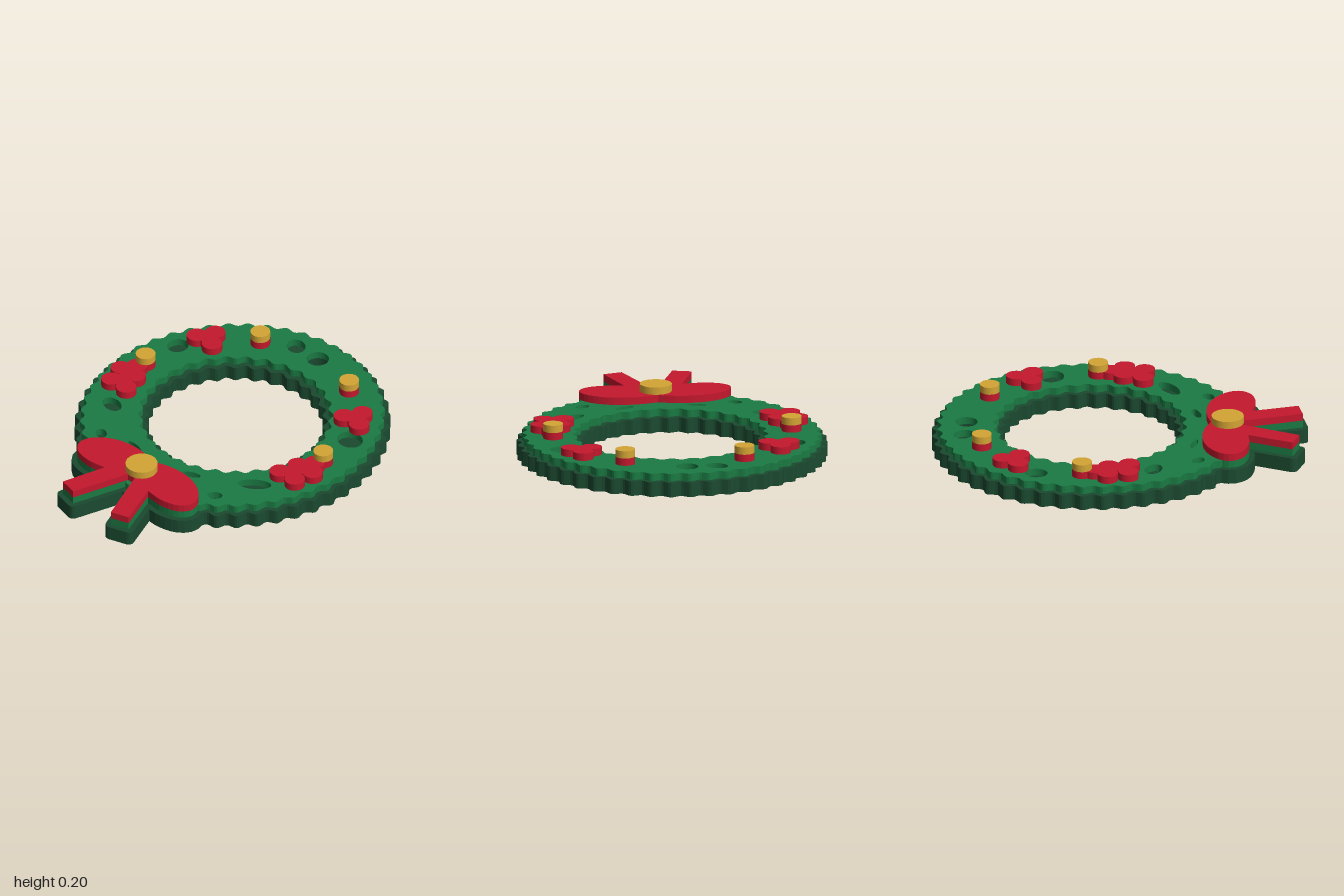
import * as THREE from 'three';

const V = (x, z) => new THREE.Vector2(x, -z); // plan coordinates, z towards the front

// Closed scalloped oval
function scallop(x, z, rx, rz, depth, bumps) {
  const pts = [], n = bumps * 8;
  for (let i = 0; i < n; i++) {
    const a = (i / n) * Math.PI * 2, d = depth * Math.cos(bumps * a);
    pts.push(V(x + (rx + d) * Math.sin(a), z + (rz + d) * Math.cos(a)));
  }
  return pts;
}

function ellipse(x, z, rx, rz, turn = 0) {
  const pts = [];
  for (let i = 0; i < 28; i++) {
    const a = (i / 28) * Math.PI * 2, u = rx * Math.cos(a), v = rz * Math.sin(a);
    pts.push(V(x + u * Math.cos(turn) - v * Math.sin(turn), z + u * Math.sin(turn) + v * Math.cos(turn)));
  }
  return pts;
}

// Outline of the bow: a curved loop and a straight tail, mirrored
function bowOutline() {
  const loop = new THREE.CatmullRomCurve3([
    [0, 0.49], [0.06, 0.47], [0.15, 0.457], [0.26, 0.47], [0.35, 0.517], [0.4, 0.577],
    [0.405, 0.635], [0.36, 0.687], [0.26, 0.712], [0.155, 0.7],
  ].map(([x, z]) => new THREE.Vector3(x, z, 0)));
  const half = loop.getSpacedPoints(26).map((p) => V(p.x, p.y));
  half.push(V(0.237, 0.943), V(0.136, 0.972), V(0.025, 0.66));
  const other = half.slice(1).reverse().map((p) => new THREE.Vector2(-p.x, p.y));
  return [...half, ...other];
}

// Grow an outline by d, rounding its sharp outer corners
function grow(outline, d) {
  const pts = counterClockwise(outline);
  const out = [], n = pts.length;
  const normal = (a, b) => new THREE.Vector2(b.y - a.y, a.x - b.x).normalize();
  pts.forEach((p, i) => {
    const n1 = normal(pts[(i + n - 1) % n], p), n2 = normal(p, pts[(i + 1) % n]);
    const turn = Math.atan2(n1.cross(n2), n1.dot(n2));
    if (turn > 0.5) {
      for (let k = 0; k <= 4; k++) {
        out.push(n1.clone().rotateAround(new THREE.Vector2(), (turn * k) / 4).multiplyScalar(d).add(p));
      }
    } else {
      out.push(n1.clone().add(n2).normalize().multiplyScalar(d / Math.cos(turn / 2)).add(p));
    }
  });
  return out;
}

function counterClockwise(pts) {
  return THREE.ShapeUtils.area(pts) < 0 ? [...pts].reverse() : pts;
}

export function createModel() {
  const group = new THREE.Group();
  const paint = (name, color) => {
    const m = new THREE.MeshStandardMaterial({ color });
    m.name = name;
    return m;
  };
  const darkGreen = paint('dark green', 0x1b4a30);
  const green = paint('leaf green', 0x1a7a43);
  const red = paint('berry red', 0xc4182d);
  const gold = paint('gold', 0xd4a535);

  const add = (name, geometry, material) => {
    const mesh = new THREE.Mesh(geometry, material);
    mesh.name = name;
    group.add(mesh);
    return mesh;
  };
  // Flat plate cut from an outline, lying between two heights;
  // the outline runs counter-clockwise and holes clockwise so that all walls face out
  const plate = (name, outline, holes, y, height, material) => {
    const shape = new THREE.Shape(counterClockwise(outline));
    shape.holes = holes.map((h) => new THREE.Path(counterClockwise(h).slice().reverse()));
    const g = new THREE.ExtrudeGeometry(shape, { depth: height, bevelEnabled: false });
    g.rotateX(-Math.PI / 2);
    g.translate(0, y, 0);
    add(name, g, material);
  };
  const disc = (name, x, z, r, y, material) => {
    const g = new THREE.CylinderGeometry(r, r, 0.04, 24);
    add(name, g, material).position.set(x, y + 0.02, z);
  };

  const hangHole = ellipse(0, -0.815, 0.06, 0.06);
  const bow = bowOutline();

  // Backing
  const innerEdge = scallop(0.01, -0.155, 0.48, 0.475, 0.013, 30);
  plate('wreathBacking', scallop(0, -0.14, 0.814, 0.846, 0.014, 48), [innerEdge, hangHole], 0, 0.08, darkGreen);
  plate('bowBacking', grow(bow, 0.029), [], 0, 0.08, darkGreen);

  // Foliage layer with cut-outs that show the backing
  const cutouts = [
    [-0.16, -0.82, 0.06, 0.05, 0.6], [-0.63, -0.4, 0.055, 0.06, 0], [0.61, -0.4, 0.075, 0.065, 0.2],
    [-0.54, 0.22, 0.065, 0.045, 0.3], [0.5, 0.235, 0.09, 0.042, -0.6],
    [-0.41, 0.45, 0.04, 0.03, 0.6], [0.41, 0.45, 0.04, 0.03, -0.6],
    [-0.2, 0.415, 0.055, 0.016, 0.2], [0.19, 0.4, 0.055, 0.022, -0.4],
  ].map((c) => ellipse(...c));
  const foliageInner = scallop(0.01, -0.155, 0.511, 0.506, 0.012, 30);
  plate('foliage', scallop(0, -0.14, 0.786, 0.818, 0.012, 48), [foliageInner, hangHole, ...cutouts], 0.08, 0.04, green);
  plate('bowUnderlay', bow, [], 0.08, 0.04, green);

  // Bow and knot
  plate('bow', bow, [], 0.12, 0.04, red);
  disc('bowKnot', 0, 0.58, 0.086, 0.16, gold);

  for (const side of [-1, 1]) {
    // Holly berries
    const berries = [
      [0.53, -0.585], [0.475, -0.5], [0.585, -0.5], [0.53, -0.53],
      [0.64, -0.09], [0.69, -0.015], [0.585, -0.015], [0.607, 0.005],
      [0.66, 0.093], [0.553, 0.093], [0.607, 0.06],
    ];
    for (const [x, z] of berries) disc('berry', side * x, z, 0.055, 0.12, red);
    // Baubles on red feet
    for (const [x, z] of [[0.32, -0.712], [0.64, -0.155]]) {
      disc('baubleFoot', side * x, z, 0.053, 0.12, red);
      disc('bauble', side * x, z, 0.053, 0.16, gold);
    }
  }
  return group;
}
